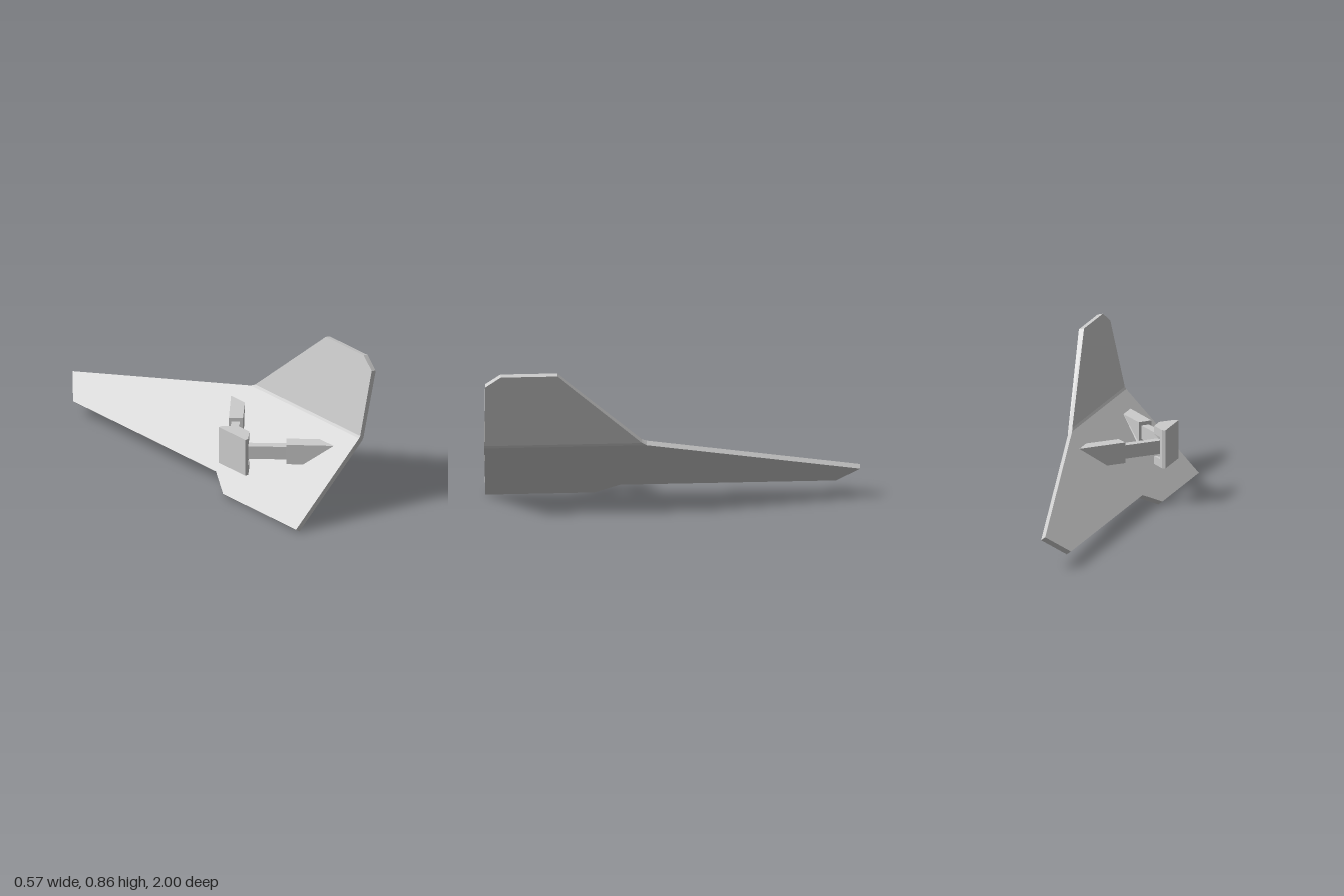
import * as THREE from 'three';

const material = new THREE.MeshStandardMaterial({ color: 0xcccccc, side: THREE.DoubleSide });

function addMesh(parent, name, geometry) {
  const mesh = new THREE.Mesh(geometry, material);
  mesh.name = name;
  parent.add(mesh);
  return mesh;
}

const shapeOf = (points) => new THREE.Shape(points.map(([x, y]) => new THREE.Vector2(x, y)));

// Upright prism from a plan outline of [x, z] points
function prism(plan, y0, y1) {
  const geo = new THREE.ExtrudeGeometry(shapeOf(plan.map(([x, z]) => [x, -z])), { depth: y1 - y0, bevelEnabled: false });
  return geo.rotateX(-Math.PI / 2).translate(0, y0, 0);
}

// Sloping sheet: outline of [z, v] points, v running from the lower to the upper
// profile station; a station is [outer x, outer y, inner x, inner y]
function sheet(outline, low, high) {
  const geo = new THREE.ExtrudeGeometry(shapeOf(outline), { depth: 1, bevelEnabled: false });
  const pos = geo.attributes.position;
  const mix = THREE.MathUtils.lerp;
  for (let i = 0; i < pos.count; i++) {
    const z = pos.getX(i), v = pos.getY(i), w = pos.getZ(i);
    const [ox, oy, ix, iy] = low.map((a, k) => mix(a, high[k], v));
    pos.setXYZ(i, mix(ox, ix, w), mix(oy, iy, w), z);
  }
  geo.computeVertexNormals();
  return geo;
}

// Bar of constant width between two plan points
function bar([x0, z0], [x1, z1], width, y0, y1) {
  const len = Math.hypot(x1 - x0, z1 - z0);
  const nx = (-(z1 - z0) / len) * width / 2, nz = ((x1 - x0) / len) * width / 2;
  return prism([[x0 + nx, z0 + nz], [x1 + nx, z1 + nz], [x1 - nx, z1 - nz], [x0 - nx, z0 - nz]], y0, y1);
}

export function createModel() {
  const model = new THREE.Group();
  model.name = 'bentPanelWithGrip';

  // Bent panel: wide lower blade, narrow fold, upright fin
  const bottom = [-0.242, 0, -0.265, 0.018];
  const foldLow = [0.174, 0.412, 0.151, 0.43];
  const foldHigh = [0.182, 0.428, 0.159, 0.442];
  const top = [0.282, 0.848, 0.253, 0.855];
  const panel = new THREE.Group();
  panel.name = 'panel';
  model.add(panel);
  addMesh(panel, 'lowerBlade', sheet(
    [[0.97, 0], [0.39, 0], [0.26, 0.156], [-0.88, 0.156], [-1, 0.4], [0.14, 1], [1, 1]], bottom, foldLow));
  addMesh(panel, 'fold', sheet([[0.14, 0], [0.165, 1], [1, 1], [1, 0]], foldLow, foldHigh));
  addMesh(panel, 'upperFin', sheet(
    [[0.165, 0], [0.62, 1], [0.92, 1], [1, 0.86], [1, 0]], foldHigh, top));

  // Grip: back plate, two caps and a tapered core between the arm pockets
  const grip = new THREE.Group();
  grip.name = 'grip';
  model.add(grip);
  const capPlan = [[-0.285, 0.38], [-0.265, 0.38], [-0.2, 0.445], [-0.2, 0.525], [-0.265, 0.59], [-0.285, 0.59]];
  const backPlan = [[-0.285, 0.38], [-0.265, 0.38], [-0.25, 0.395], [-0.25, 0.575], [-0.265, 0.59], [-0.285, 0.59]];
  addMesh(grip, 'lowerCap', prism(capPlan, 0.203, 0.247));
  addMesh(grip, 'upperCap', prism(capPlan, 0.368, 0.412));
  addMesh(grip, 'backPlate', prism(backPlan, 0.247, 0.368));
  const core = shapeOf([[-0.25, 0.247], [-0.2, 0.247], [-0.225, 0.27], [-0.225, 0.343], [-0.2, 0.368], [-0.25, 0.368]]);
  addMesh(grip, 'core', new THREE.ExtrudeGeometry(core, { depth: 0.08, bevelEnabled: false }).translate(0, 0, 0.445));

  // Two splayed arms with thicker sockets cut to the slope of the panel
  const arms = [
    { name: 'rearArm', from: [-0.24, 0.445], to: [-0.07, 0.27], slope: -1.05,
      socket: [[-0.105, 0.255], [-0.05, 0.305], [0.083, 0.17], [0.083, 0.06]] },
    { name: 'frontArm', from: [-0.24, 0.51], to: [-0.06, 0.68], slope: 1,
      socket: [[-0.095, 0.7], [-0.045, 0.643], [0.083, 0.762], [0.083, 0.875]] },
  ];
  for (const { name, from, to, slope, socket } of arms) {
    const arm = new THREE.Group();
    arm.name = name;
    model.add(arm);
    addMesh(arm, 'armBar', bar(from, to, 0.045, 0.27, 0.343));
    const geo = prism(socket, 0.25, 0.363);
    const pos = geo.attributes.position;
    for (let i = 0; i < pos.count; i++) {
      if (pos.getX(i) > 0 && pos.getY(i) < 0.3) {
        pos.setX(i, pos.getX(i) - 0.108);
        pos.setZ(i, pos.getZ(i) - 0.108 * slope);
      }
    }
    geo.computeVertexNormals();
    addMesh(arm, 'armSocket', geo);
  }
  return model;
}
